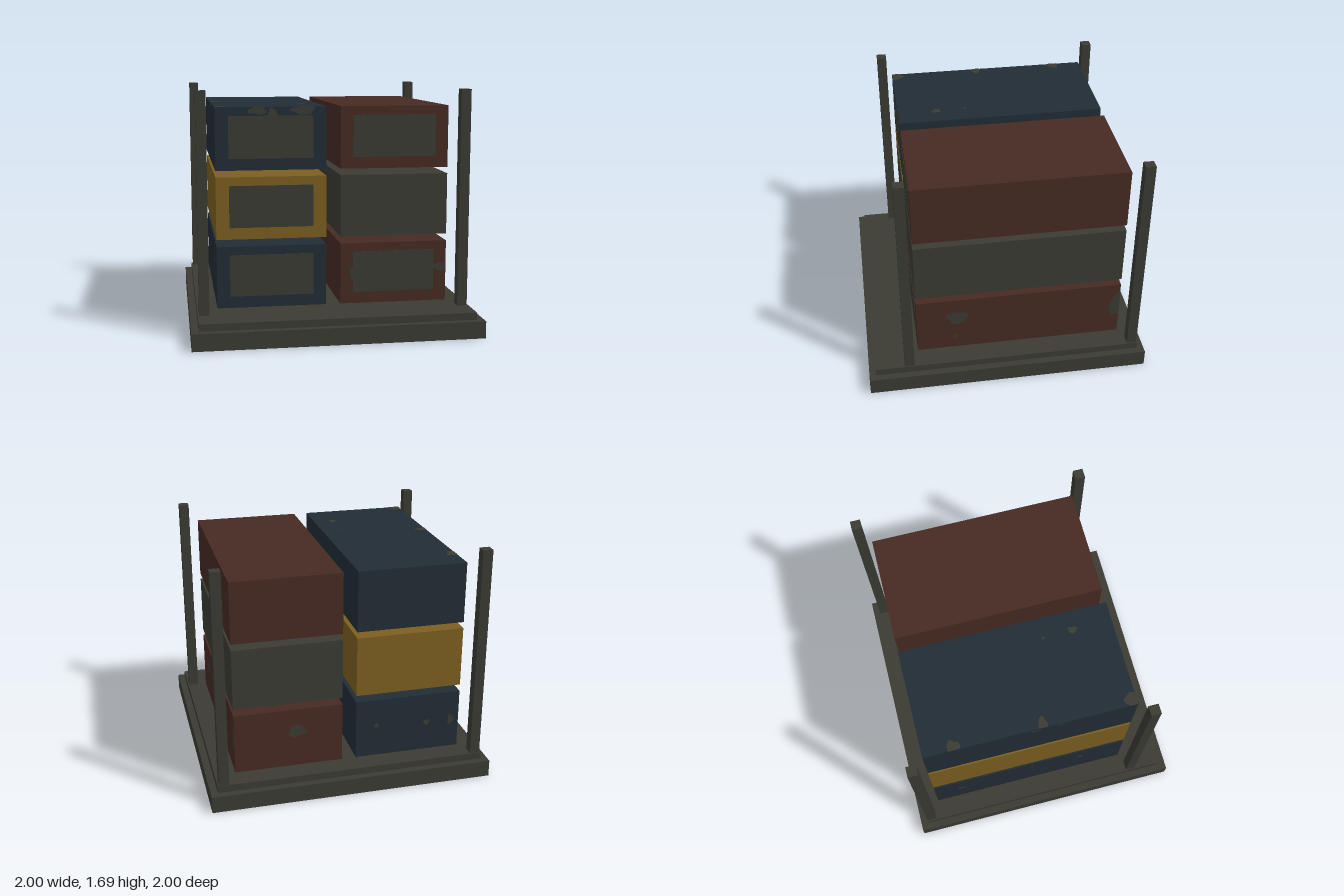
import * as THREE from 'three';

const material = (name, color) => {
  const m = new THREE.MeshStandardMaterial({ color });
  m.name = name;
  return m;
};

export function createModel() {
  const steel = material('dark steel', 0x3b3b34);
  const red = material('rust red', 0x462a22);
  const blue = material('navy blue', 0x222d36);
  const yellow = material('ochre yellow', 0x7c5f20);
  const model = new THREE.Group();
  model.name = 'containerRack';

  const box = (parent, name, mat, size, pos) => {
    const mesh = new THREE.Mesh(new THREE.BoxGeometry(...size), mat);
    mesh.name = name;
    mesh.position.set(...pos);
    parent.add(mesh);
    return mesh;
  };

  // Stepped base and corner posts
  box(model, 'base', steel, [2, 0.12, 2], [0, 0.06, 0]);
  box(model, 'deck', steel, [1.9, 0.05, 1.9], [0, 0.145, 0]);
  for (const x of [-0.905, 0.905])
    for (const z of [-0.91, 0.71])
      box(model, 'cornerPost', steel, [0.07, 1.52, 0.07], [x, 0.93, z]);

  const W = 0.76, H = 0.43, D = 1.47;
  // Each face: half width, half height, distance from centre, rotation
  const faces = {
    front: [W / 2, H / 2, D / 2, 0, 0],
    back: [W / 2, H / 2, D / 2, 0, Math.PI],
    right: [D / 2, H / 2, W / 2, 0, Math.PI / 2],
    left: [D / 2, H / 2, W / 2, 0, -Math.PI / 2],
    top: [W / 2, D / 2, H / 2, -Math.PI / 2, 0],
  };

  // Irregular worn patch, trimmed to the edges of its face
  const addPatch = (parent, [face, u, v, ru, rv], seed) => {
    const [hu, hv, dist, rx, ry] = faces[face];
    const points = [];
    for (let i = 0; i < 14; i++) {
      const a = (i / 14) * Math.PI * 2;
      const r = 0.9 + 0.15 * Math.sin(3 * a + seed) + 0.08 * Math.sin(5 * a + seed * 2);
      points.push(new THREE.Vector2(
        THREE.MathUtils.clamp(u + ru * r * Math.cos(a), -hu, hu),
        THREE.MathUtils.clamp(v + rv * r * Math.sin(a), -hv, hv)));
    }
    const mesh = new THREE.Mesh(new THREE.ShapeGeometry(new THREE.Shape(points)), steel);
    mesh.name = 'wornPatch';
    mesh.geometry.translate(0, 0, dist + 0.003);
    mesh.rotation.set(rx, ry, 0);
    parent.add(mesh);
  };

  const lowBlue = [
    ['back', 0.14, 0, 0.025, 0.025], ['back', 0.32, 0, 0.025, 0.04],
    ['back', -0.23, 0.02, 0.02, 0.02], ['left', 0.405, 0.08, 0.03, 0.03],
    ['left', 0.02, 0.14, 0.02, 0.02], ['left', -0.53, 0.03, 0.04, 0.03],
    ['right', -0.7, -0.03, 0.04, 0.04],
  ];
  const topBlue = [
    ['top', -0.36, 0.525, 0.055, 0.05], ['top', -0.35, -0.085, 0.05, 0.035],
    ['top', -0.34, -0.7, 0.06, 0.05], ['top', 0.24, -0.455, 0.028, 0.035],
    ['top', 0.23, -0.245, 0.012, 0.012], ['front', 0.01, 0.17, 0.035, 0.04],
    ['front', -0.09, 0.19, 0.07, 0.03], ['front', 0.22, 0.19, 0.09, 0.03],
    ['left', 0.025, 0.19, 0.03, 0.025], ['left', 0.2, 0.2, 0.03, 0.02],
  ];
  const lowRed = [
    ['right', -0.445, 0.06, 0.085, 0.06], ['right', -0.465, -0.115, 0.013, 0.025],
    ['right', 0.725, 0.03, 0.07, 0.12], ['front', 0.335, 0.03, 0.05, 0.035],
    ['front', -0.29, 0, 0.03, 0.05], ['back', 0.06, 0.05, 0.07, 0.05],
  ];

  // Two stacks of three containers
  const containers = [
    ['lowerBlueContainer', blue, -0.43, 0.405, lowBlue],
    ['middleYellowContainer', yellow, -0.43, 0.885, []],
    ['upperBlueContainer', blue, -0.43, 1.36, topBlue],
    ['lowerRedContainer', red, 0.43, 0.405, lowRed],
    ['middleSteelContainer', steel, 0.43, 0.885, []],
    ['upperRedContainer', red, 0.43, 1.36, []],
  ];
  for (const [name, mat, x, y, patches] of containers) {
    const group = new THREE.Group();
    group.name = name;
    group.position.set(x, y, -0.095);
    box(group, 'body', mat, [W, H, D], [0, 0, 0]);
    if (mat !== steel)
      box(group, 'frontPanel', steel, [0.58, 0.29, 0.006], [0, 0.01, D / 2]);
    patches.forEach((p, i) => addPatch(group, p, i * 1.7));
    model.add(group);
  }
  return model;
}
